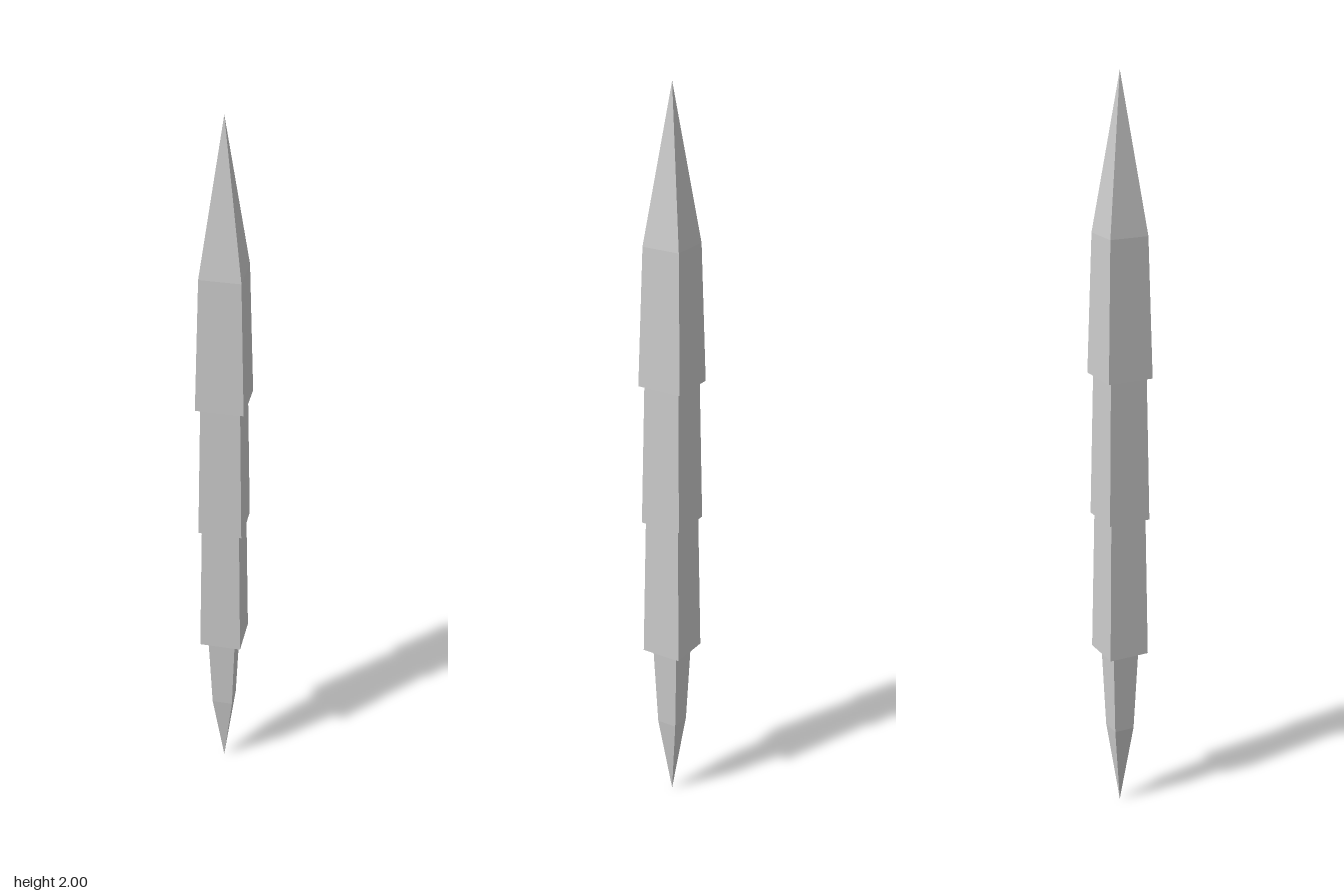
import * as THREE from 'three';

const material = new THREE.MeshStandardMaterial({ color: 0xcccccc, flatShading: true });

// Four-sided tapered block between two heights, given half widths at each end
function taper(name, yBottom, halfBottom, yTop, halfTop, open = false) {
  const height = yTop - yBottom;
  const geometry = new THREE.CylinderGeometry(
    halfTop * Math.SQRT2, halfBottom * Math.SQRT2, height, 4, 1, open, Math.PI / 4);
  geometry.translate(0, yBottom + height / 2, 0);
  const mesh = new THREE.Mesh(geometry, material);
  mesh.name = name;
  return mesh;
}

export function createModel() {
  const group = new THREE.Group();
  group.name = 'squareSpike';

  // Pointed tail
  group.add(taper('tailPoint', 0, 0, 0.23, 0.028, true));
  group.add(taper('tailShank', 0.23, 0.028, 0.463, 0.037, true));

  // Overlapping sleeves, each widening towards its lower rim
  group.add(taper('lowerSleeve', 0.463, 0.056, 0.85, 0.05));
  group.add(taper('middleSleeve', 0.85, 0.0575, 1.235, 0.051));
  group.add(taper('upperSleeve', 1.235, 0.062, 1.6, 0.0525));

  // Pyramid head
  group.add(taper('headPoint', 1.6, 0.0525, 2, 0, true));

  return group;
}
